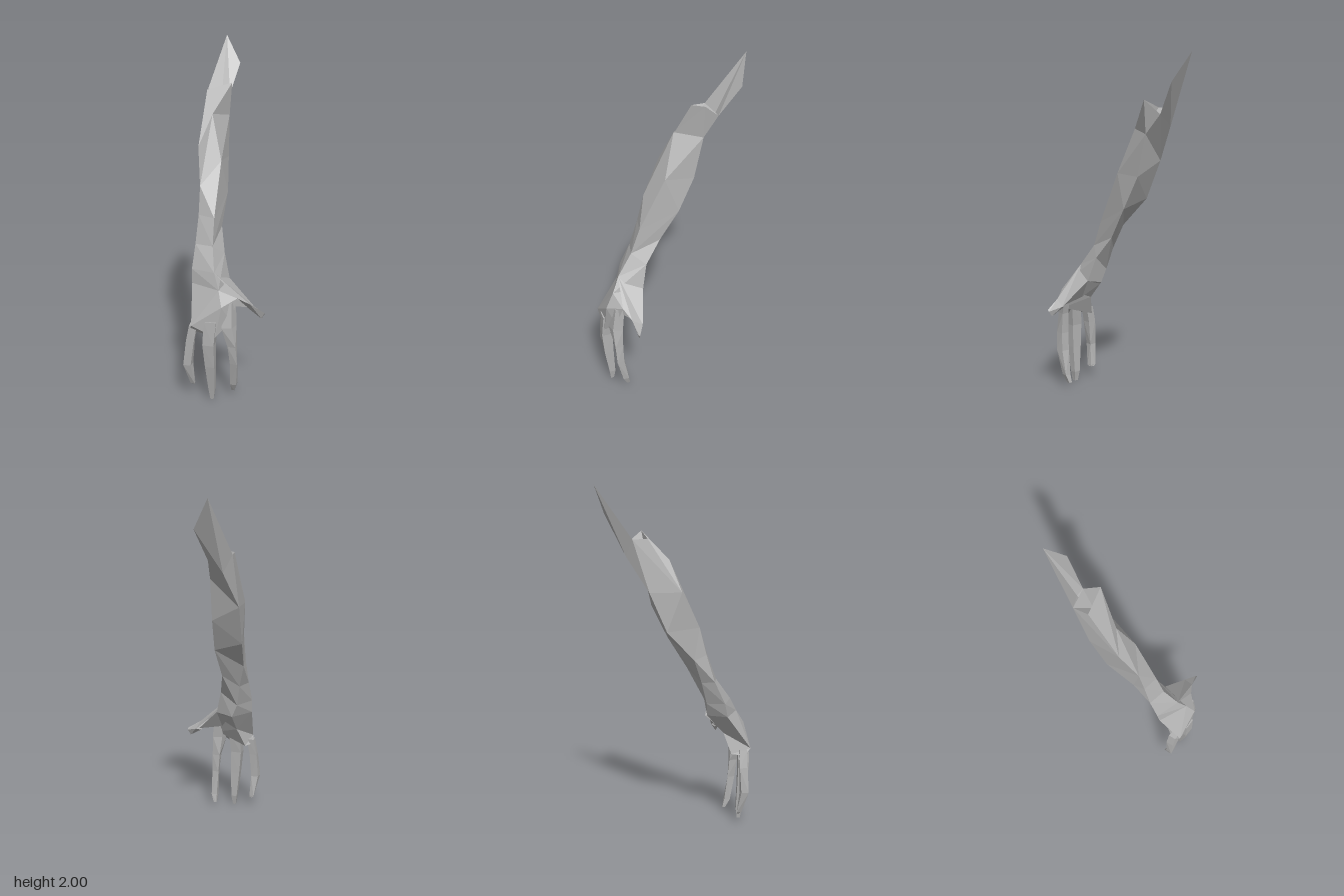
import * as THREE from 'three';

const skin = new THREE.MeshStandardMaterial({ color: 0xb0b0b0, flatShading: true, side: THREE.DoubleSide });
skin.name = 'grey skin';

const vec = (p) => new THREE.Vector3(...p);

// Skins a stack of equal-sized cross-sections, top to bottom, and closes both ends
function loft(name, rings) {
  const n = rings[0].length;
  const pos = [];
  const tri = (a, b, c) => {
    const area = vec(b).sub(vec(a)).cross(vec(c).sub(vec(a))).length();
    if (area > 1e-7) pos.push(...a, ...b, ...c);
  };
  for (let k = 0; k < rings.length - 1; k++) {
    const a = rings[k], b = rings[k + 1];
    const centre = new THREE.Vector3();
    [...a, ...b].forEach((p) => centre.addScaledVector(vec(p), 0.5 / n));
    const bulge = (p, q) => vec(p).lerp(vec(q), 0.5).distanceTo(centre);
    for (let i = 0; i < n; i++) {
      const j = (i + 1) % n;
      // Split each quad along its outer diagonal, so that it bulges
      if (bulge(a[i], b[j]) > bulge(b[i], a[j])) {
        tri(a[i], b[i], b[j]);
        tri(a[i], b[j], a[j]);
      } else {
        tri(a[i], b[i], a[j]);
        tri(b[i], b[j], a[j]);
      }
    }
  }
  const top = rings[0], end = rings[rings.length - 1];
  for (let i = 1; i < n - 1; i++) {
    tri(top[0], top[i], top[i + 1]);
    tri(end[0], end[i + 1], end[i]);
  }
  const geo = new THREE.BufferGeometry();
  geo.setAttribute('position', new THREE.Float32BufferAttribute(pos, 3));
  geo.computeVertexNormals();
  const mesh = new THREE.Mesh(geo, skin);
  mesh.name = name;
  return mesh;
}

// Four-sided finger along joints given as [x, y, z, halfWidth, halfDepth]
function finger(name, joints) {
  return loft(name, joints.map(([x, y, z, w, d]) => [
    [x - w, y, z], [x, y, z + d], [x + w, y, z], [x, y, z - d],
  ]));
}

export function createModel() {
  const model = new THREE.Group();
  model.name = 'arm';

  // Each section runs outer side, front, inner side, back; the torn end dips to a pit
  const pit = [0.12, 1.66, -0.205];
  const innerRim = [0.23, 1.67, -0.245];
  const backRim = [0.115, 1.7, -0.307];
  const upperArm = [[-0.07, 1.405, -0.1], [0.025, 1.585, -0.1], [0.18, 1.56, -0.165], [0.045, 1.405, -0.247]];
  const wrist = [[-0.228, 0.75, 0.1], [-0.16, 0.755, 0.235], [-0.028, 0.82, 0.13], [-0.11, 0.74, 0.075]];
  model.add(loft('forearm', [
    [pit, pit, pit, pit],
    [[0.067, 1.705, -0.235], [0.19, 1.748, -0.155], innerRim, backRim],
    upperArm,
    [[-0.116, 1.2, 0], [0.025, 1.33, 0], [0.148, 1.32, -0.12], [-0.015, 1.18, -0.168]],
    [[-0.143, 1.04, 0.03], [-0.085, 1.03, 0.107], [0.095, 1.13, -0.04], [-0.1, 1.01, -0.028]],
    [[-0.182, 0.88, 0.06], [-0.12, 0.88, 0.15], [0.01, 0.95, 0.035], [-0.105, 0.87, 0.033]],
    wrist,
  ]));

  // Palm from the wrist to the knuckles
  const indexKnuckle = [-0.07, 0.62, 0.34];
  const thumbRoot = [-0.024, 0.68, 0.18];
  model.add(loft('palm', [
    wrist,
    [[-0.235, 0.67, 0.115], [-0.165, 0.67, 0.292], thumbRoot, [-0.09, 0.66, 0.105]],
    [[-0.313, 0.47, 0.24], [-0.18, 0.59, 0.347], indexKnuckle, [-0.16, 0.55, 0.175]],
    [[-0.3, 0.43, 0.2], [-0.21, 0.41, 0.33], [-0.115, 0.49, 0.345], [-0.22, 0.43, 0.175]],
  ]));

  // Long sharp splinter, blending down into the back of the upper arm
  const tip = [0.307, 2, -0.41], side = [0.337, 1.84, -0.303];
  model.add(loft('splinter', [
    [tip, tip, side, side],
    [backRim, [0.195, 1.67, -0.28], innerRim, [0.17, 1.605, -0.302]],
    [[0.07, 1.5, -0.2], [0.1, 1.5, -0.18], upperArm[2], upperArm[3]],
  ]));

  // Fingers
  model.add(finger('indexFinger', [
    [-0.115, 0.6, 0.325, 0.045, 0.025], [-0.125, 0.46, 0.34, 0.05, 0.03], [-0.105, 0.34, 0.345, 0.032, 0.035],
    [-0.095, 0.23, 0.343, 0.025, 0.037], [-0.078, 0.08, 0.32, 0.025, 0.024], [-0.07, 0.03, 0.3, 0.012, 0.014],
  ]));
  model.add(finger('middleFinger', [
    [-0.21, 0.5, 0.29, 0.05, 0.048], [-0.225, 0.36, 0.29, 0.045, 0.048],
    [-0.215, 0.22, 0.288, 0.037, 0.042], [-0.2, 0.06, 0.28, 0.024, 0.028], [-0.2, 0, 0.28, 0.012, 0.016],
  ]));
  model.add(finger('littleFinger', [
    [-0.28, 0.46, 0.21, 0.03, 0.035], [-0.295, 0.36, 0.198, 0.03, 0.037],
    [-0.307, 0.21, 0.19, 0.033, 0.028], [-0.275, 0.08, 0.185, 0.016, 0.025], [-0.268, 0.07, 0.185, 0.008, 0.015],
  ]));

  // Thumb, spreading forward and inward
  model.add(loft('thumb', [
    [wrist[1], indexKnuckle, thumbRoot],
    [[0.002, 0.575, 0.36], [0.02, 0.53, 0.32], [0.052, 0.54, 0.325]],
    [[0.07, 0.525, 0.408], [0.062, 0.485, 0.385], [0.076, 0.515, 0.4]],
  ]));
  model.add(loft('thumbWeb', [
    [[-0.08, 0.62, 0.33], thumbRoot, [-0.07, 0.655, 0.11]],
    [[-0.08, 0.57, 0.33], [0.03, 0.54, 0.325], [-0.08, 0.57, 0.22]],
  ]));
  return model;
}
